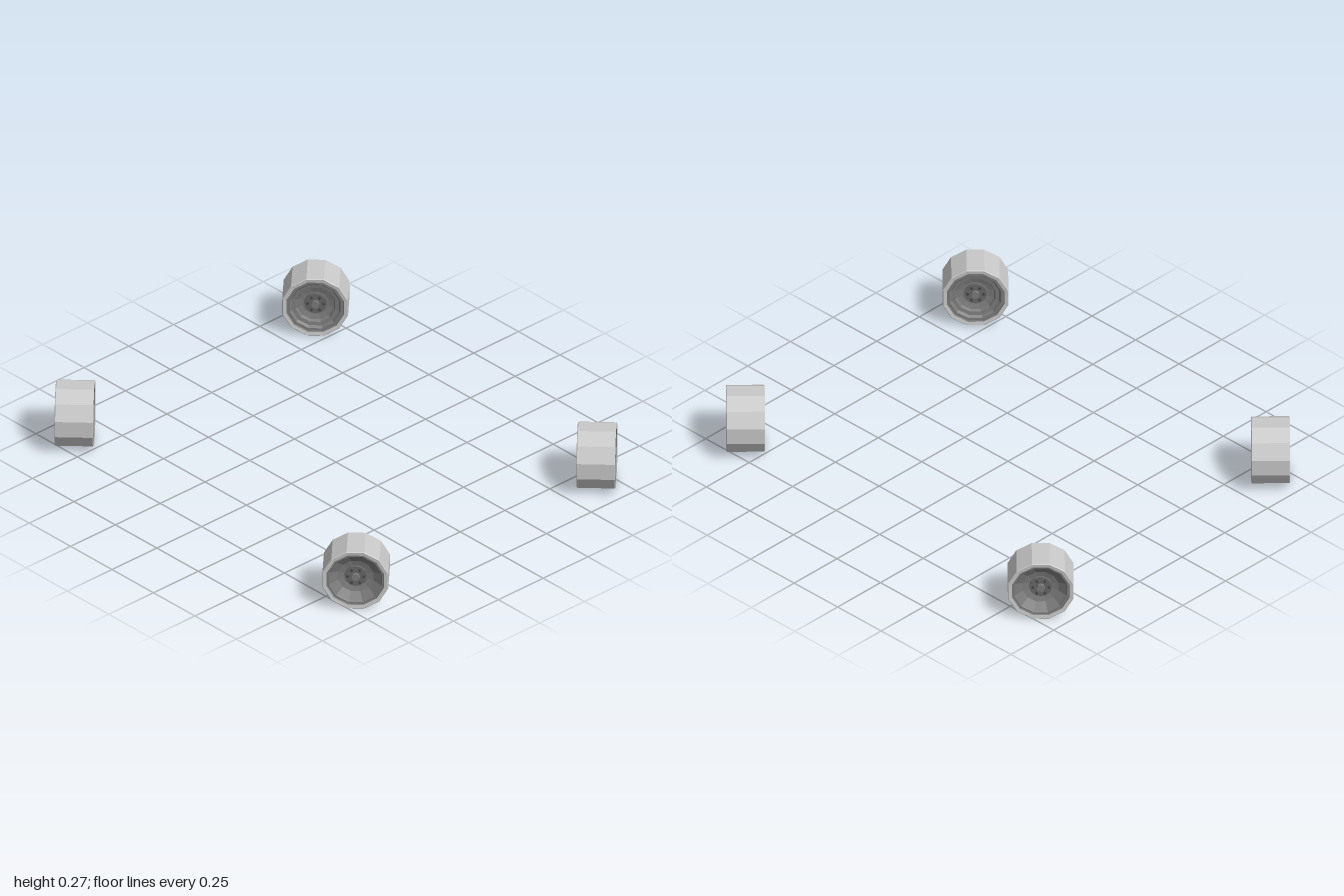
import * as THREE from 'three';

const SIDES = 12;
const APOTHEM = 0.135;                               // half the height across flats
const R = APOTHEM / Math.cos(Math.PI / SIDES);       // tyre corner radius
const H = 0.0795;                                    // half the wheel width

const material = (name, color) => {
  const m = new THREE.MeshStandardMaterial({ color, flatShading: true, side: THREE.DoubleSide });
  m.name = name;
  return m;
};

// Faceted ring turned about the wheel axis (local z), from [radius, offset] pairs
function turned(name, profile, mat) {
  const points = profile.map(([r, z]) => new THREE.Vector2(r, z));
  const geo = new THREE.LatheGeometry(points, SIDES, Math.PI / SIDES).rotateX(Math.PI / 2);
  const mesh = new THREE.Mesh(geo, mat);
  mesh.name = name;
  return mesh;
}

// Short cylinder along the wheel axis
function disc(name, radius, depth, sides, x, y, z, mat) {
  const geo = new THREE.CylinderGeometry(radius, radius, depth, sides).rotateX(Math.PI / 2);
  const mesh = new THREE.Mesh(geo, mat);
  mesh.name = name;
  mesh.position.set(x, y, z);
  return mesh;
}

function createWheel(mats) {
  const wheel = new THREE.Group();

  // Tyre: flat tread with narrow sidewalls
  wheel.add(turned('tyre', [
    [0.122, -H + 0.002], [R - 0.003, -H], [R, -H + 0.003],
    [R, H - 0.003], [R - 0.003, H], [0.122, H - 0.002],
  ], mats.tyre));

  // Outer rim: lip, groove and sloping bowl
  wheel.add(turned('outerRim', [
    [0.122, H - 0.002], [0.12, H - 0.008], [0.112, H - 0.008],
    [0.108, H - 0.014], [0.075, H - 0.036], [0.05, H - 0.042], [0, H - 0.042],
  ], mats.rim));

  // Inner rim: stepped barrel
  wheel.add(turned('innerRim', [
    [0, -H + 0.04], [0.055, -H + 0.04], [0.078, -H + 0.034], [0.084, -H + 0.022],
    [0.1, -H + 0.02], [0.108, -H + 0.009], [0.12, -H + 0.009], [0.122, -H + 0.002],
  ], mats.rim));

  // Hub plate, cap and six bolts on both faces
  for (const [side, depth] of [[1, 0.042], [-1, 0.04]]) {
    const base = H - depth;
    wheel.add(disc('hubPlate', 0.047, 0.008, SIDES, 0, 0, side * (base + 0.004), mats.hub));
    wheel.add(disc('hubCap', 0.017, 0.02, 8, 0, 0, side * (base + 0.01), mats.rim));
    for (let i = 0; i < 6; i++) {
      const a = (i / 6) * Math.PI * 2;
      wheel.add(disc('wheelBolt', 0.0065, 0.014, 6,
        0.033 * Math.cos(a), 0.033 * Math.sin(a), side * (base + 0.007), mats.bolt));
    }
  }
  return wheel;
}

export function createModel() {
  const model = new THREE.Group();
  model.name = 'wheelSet';
  const mats = {
    tyre: material('light grey tyre', 0xc8c8c8),
    rim: material('mid grey rim', 0x7c7c7c),
    hub: material('dark grey hub', 0x686868),
    bolt: material('charcoal bolts', 0x484848),
  };

  // One wheel at each corner, facing diagonally outward
  for (const sx of [1, -1]) {
    for (const sz of [1, -1]) {
      const wheel = createWheel(mats);
      wheel.name = (sz > 0 ? 'front' : 'back') + (sx > 0 ? 'Left' : 'Right') + 'Wheel';
      wheel.position.set(sx * 0.672, APOTHEM, sz * 0.848);
      wheel.rotation.y = Math.atan2(sx, sz);
      model.add(wheel);
    }
  }
  return model;
}
